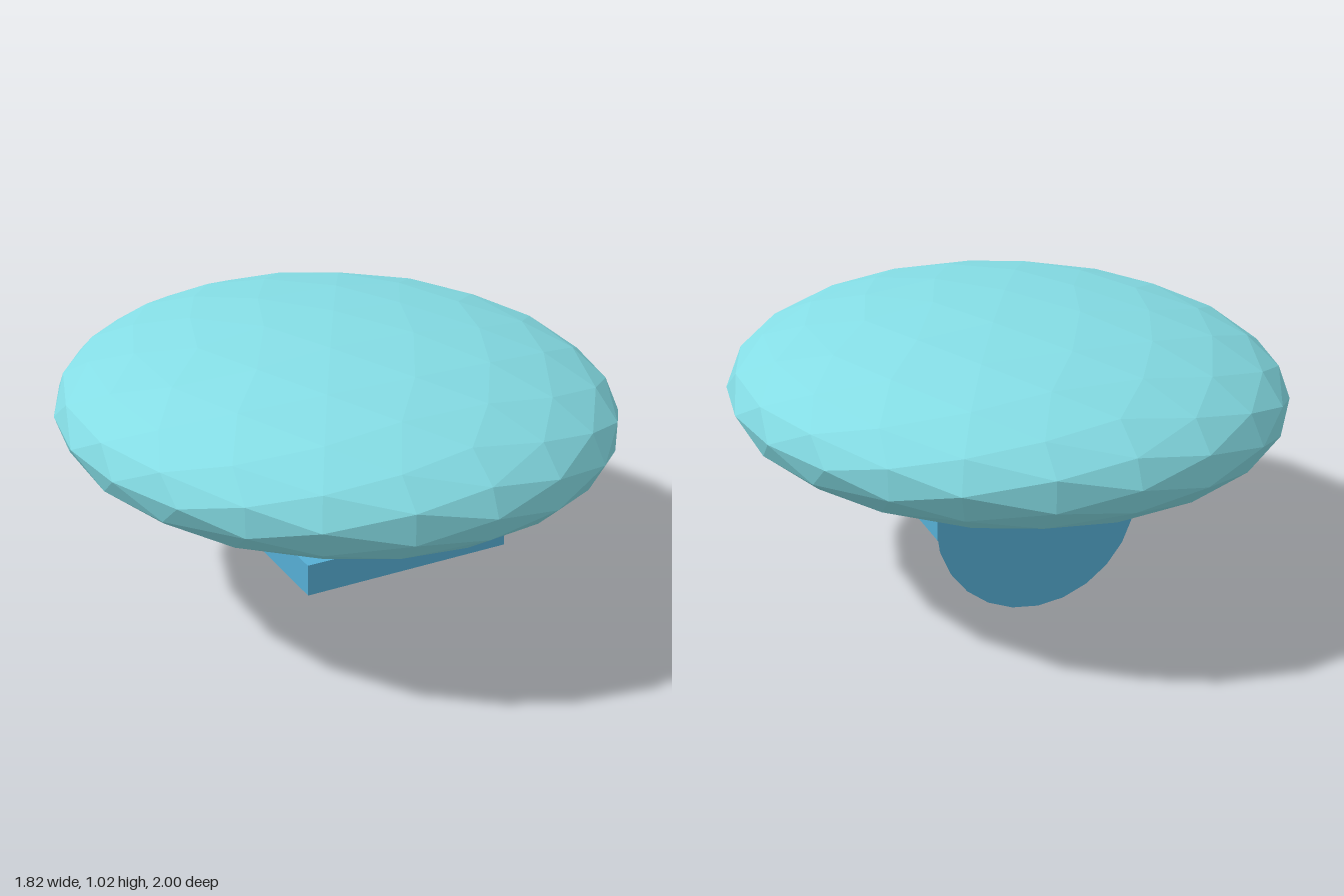
import * as THREE from 'three';

export function createModel() {
  const group = new THREE.Group();
  const material = (color) => new THREE.MeshStandardMaterial({ color, flatShading: true });
  const canopyBlue = material(0x84dce4);
  const hullBlue = material(0x56aed4);
  const grey = material(0xcccccc);

  const add = (name, geometry, mat, x, y, z) => {
    const mesh = new THREE.Mesh(geometry, mat);
    mesh.name = name;
    mesh.position.set(x, y, z);
    group.add(mesh);
    return mesh;
  };

  // Faceted ellipsoid: an icosphere halved twice, then squashed
  const coarse = new THREE.IcosahedronGeometry(1, 1).attributes.position;
  const corners = Array.from(coarse.array);
  const faces = Array.from({ length: coarse.count }, (_, i) => i);
  const balloon = new THREE.PolyhedronGeometry(corners, faces, 1, 1);
  balloon.scale(0.91, 0.305, 1);
  balloon.computeVertexNormals();
  add('balloon', balloon, canopyBlue, 0, 0.711, 0);

  // Flat deck under the balloon
  add('deck', new THREE.BoxGeometry(0.714, 0.104, 0.824), hullBlue, 0, 0.366, 0.105);

  // Thin plate hung just below the deck, its back end buried in the cone
  add('underPlate', new THREE.BoxGeometry(0.41, 0.04, 0.635), grey, 0, 0.287, 0.1175);

  // Cone with its tip forward and its flat base at the back
  const cone = new THREE.ConeGeometry(0.356, 0.59, 24);
  cone.rotateX(Math.PI / 2);
  add('tailCone', cone, hullBlue, 0, 0.356, 0.005);

  return group;
}
